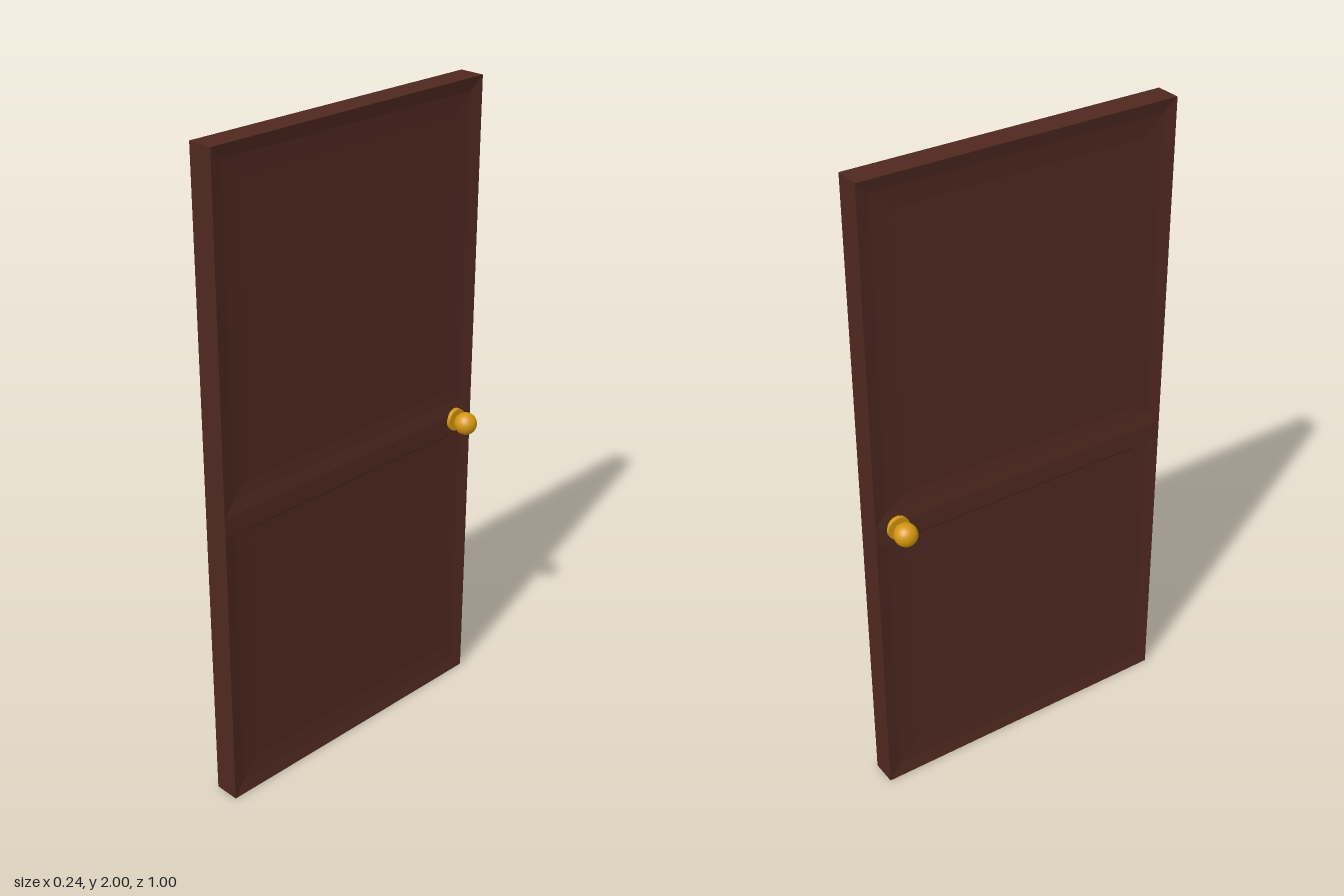
import * as THREE from 'three';

const wood = new THREE.MeshStandardMaterial({ color: 0x4f2820, flatShading: true });
const brass = new THREE.MeshStandardMaterial({ color: 0xd4960f });

const HALF = 0.04; // half the door thickness

// Rings of one panel, outermost first: half width in z, bottom, top, height x
const upperPanel = [
  [0.5, 0.96, 2, HALF],
  [0.46, 1.0, 1.96, HALF - 0.008],
  [0.4, 1.04, 1.9, HALF - 0.012],
];
const lowerPanel = [
  [0.5, 0, 0.9, HALF],
  [0.46, 0.04, 0.895, HALF - 0.008],
  [0.4, 0.1, 0.887, HALF - 0.012],
];

function quadGeometry(quads) {
  const positions = [];
  for (const [a, b, c, d] of quads) positions.push(...a, ...b, ...c, ...a, ...c, ...d);
  const geometry = new THREE.BufferGeometry();
  geometry.setAttribute('position', new THREE.Float32BufferAttribute(positions, 3));
  geometry.computeVertexNormals();
  return geometry;
}

// Corners run anticlockwise seen from +x
const corners = ([w, y0, y1, x]) => [[x, y0, w], [x, y0, -w], [x, y1, -w], [x, y1, w]];

// Stepped, sunken panel closed by a flat centre
function panelGeometry(rings) {
  const loops = rings.map(corners);
  const quads = [loops[loops.length - 1]];
  for (let r = 0; r < loops.length - 1; r++) {
    for (let i = 0; i < 4; i++) {
      const j = (i + 1) % 4;
      quads.push([loops[r][i], loops[r][j], loops[r + 1][j], loops[r + 1][i]]);
    }
  }
  return quadGeometry(quads);
}

function add(parent, name, geometry, material) {
  const mesh = new THREE.Mesh(geometry, material);
  mesh.name = name;
  parent.add(mesh);
  return mesh;
}

// One face of the door with its handle, built facing +x
function createSide(name) {
  const side = new THREE.Group();
  side.name = name;
  add(side, 'upperPanel', panelGeometry(upperPanel), wood);
  add(side, 'lowerPanel', panelGeometry(lowerPanel), wood);
  add(side, 'middleRail', quadGeometry([corners([0.5, 0.9, 0.96, HALF])]), wood);

  const handle = new THREE.Group();
  handle.name = 'handle';
  const rose = add(handle, 'rose', new THREE.CylinderGeometry(0.035, 0.035, 0.02, 32), brass);
  rose.rotation.z = -Math.PI / 2;
  rose.position.x = 0.04;
  const knob = add(handle, 'knob', new THREE.SphereGeometry(0.035, 32, 20), brass);
  knob.position.x = 0.085;
  handle.position.set(0, 0.945, -0.43);
  side.add(handle);
  return side;
}

export function createModel() {
  const door = new THREE.Group();
  door.name = 'door';

  // Two mirrored faces
  const left = createSide('leftFace');
  const right = createSide('rightFace');
  right.scale.x = -1;
  door.add(left, right);

  // Narrow edges around the slab
  const h = HALF;
  const edge = [[0, 0.5], [0, -0.5], [2, -0.5], [2, 0.5]];
  const quads = edge.map(([y, z], i) => {
    const [y2, z2] = edge[(i + 1) % 4];
    return [[h, y, z], [-h, y, z], [-h, y2, z2], [h, y2, z2]];
  });
  add(door, 'edges', quadGeometry(quads), wood);
  return door;
}
